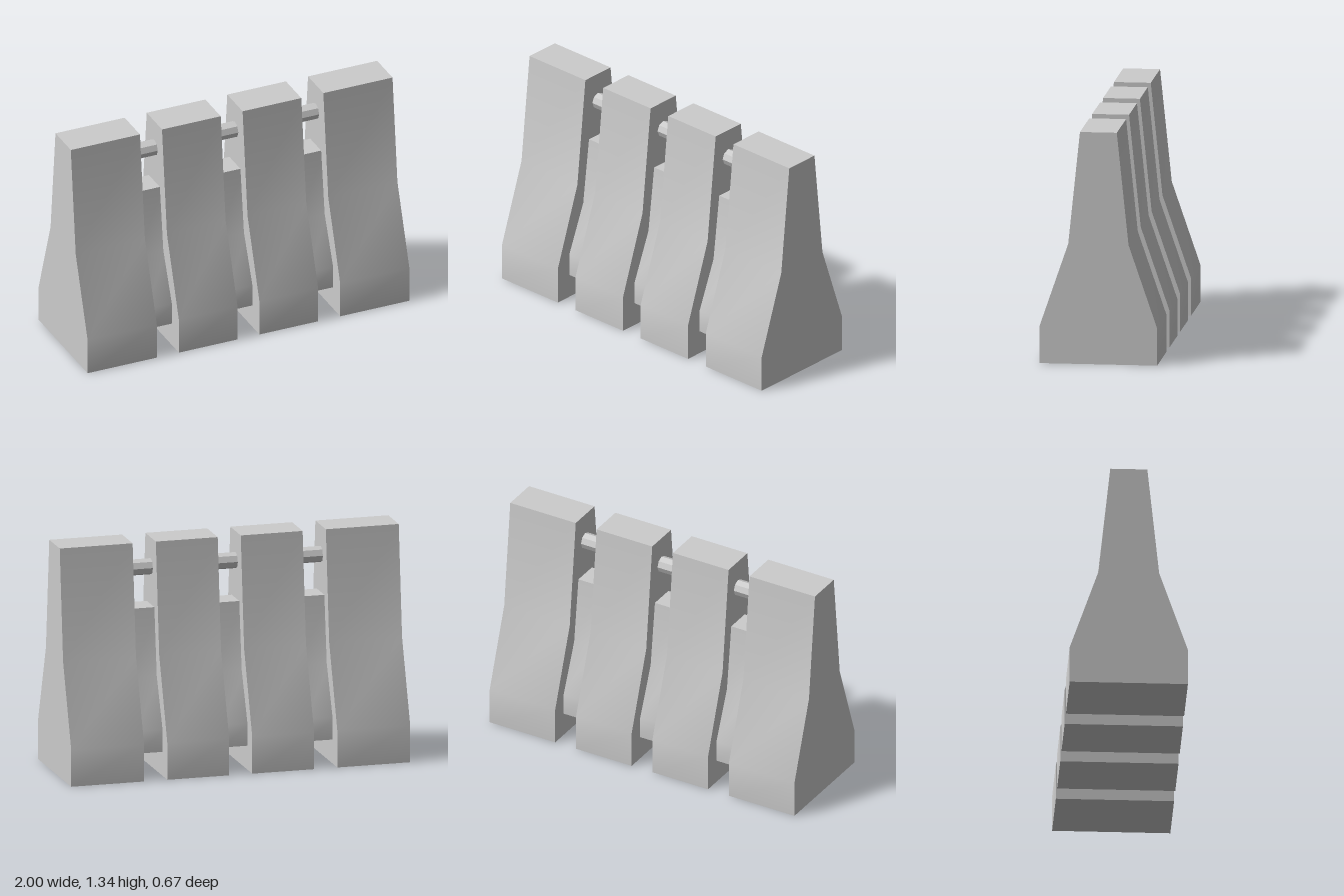
import * as THREE from 'three';
import { toCreasedNormals } from 'three/addons/utils/BufferGeometryUtils.js';

const material = new THREE.MeshStandardMaterial({ color: 0xcccccc });

// Half-width and height along the tapered side profile
const PROFILE = [[0.335, 0], [0.335, 0.215], [0.172, 0.69], [0.105, 1.335]];

// Symmetric tapered slab running from x0 to x1, its profile scaled and lifted
function taperedSlab(name, x0, x1, scaleZ = 1, scaleY = 1, baseY = 0) {
  const right = PROFILE.map(([z, y]) => new THREE.Vector2(z * scaleZ, baseY + y * scaleY));
  const left = right.map((p) => new THREE.Vector2(-p.x, p.y)).reverse();
  const shape = new THREE.Shape([...right, ...left]);
  const geometry = new THREE.ExtrudeGeometry(shape, { depth: x1 - x0, bevelEnabled: false });
  geometry.rotateY(Math.PI / 2).translate(x0, 0, 0);
  // Soften the gentle bends, keep the real edges sharp
  const mesh = new THREE.Mesh(toCreasedNormals(geometry, Math.PI / 6), material);
  mesh.name = name;
  return mesh;
}

export function createModel() {
  const group = new THREE.Group();
  group.name = 'segmentedBarrier';

  // Four large blocks: wider ones at the ends
  const blocks = [[-1, -0.57], [-0.433, -0.068], [0.068, 0.433], [0.57, 1]];
  blocks.forEach(([x0, x1], i) => group.add(taperedSlab(`block${i + 1}`, x0, x1)));

  // Recessed webs and octagonal rods bridging each gap
  for (let i = 0; i < 3; i++) {
    const x0 = blocks[i][1] - 0.02;
    const x1 = blocks[i + 1][0] + 0.02;
    group.add(taperedSlab(`web${i + 1}`, x0, x1, 0.715, 0.603, 0.14));

    const rodGeometry = new THREE.CylinderGeometry(0.047, 0.047, x1 - x0, 8).rotateZ(Math.PI / 2);
    const rod = new THREE.Mesh(toCreasedNormals(rodGeometry, Math.PI / 6), material);
    rod.name = `rod${i + 1}`;
    rod.position.set((x0 + x1) / 2, 1.166, 0);
    group.add(rod);
  }
  return group;
}
